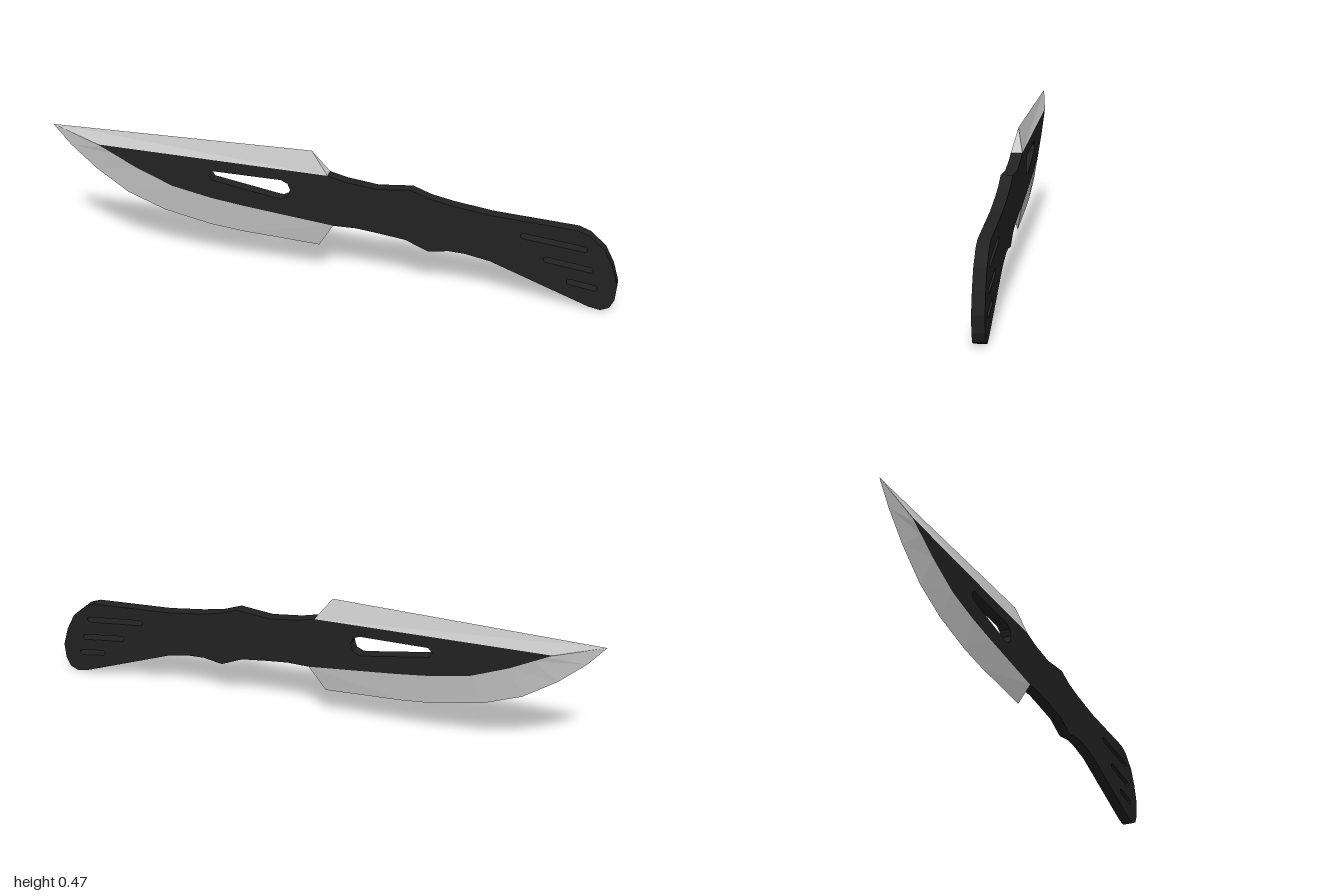
import * as THREE from 'three';

const H = 0.02; // half thickness of the flat core

const toPoints = (list) => list.map(([x, y]) => new THREE.Vector2(x, y));

// Rounded slot between two points, used as a hole
function slot([x1, y1], [x2, y2], r) {
  const a = Math.atan2(y2 - y1, x2 - x1);
  const path = new THREE.Path();
  path.absarc(x2, y2, r, a - Math.PI / 2, a + Math.PI / 2);
  path.absarc(x1, y1, r, a + Math.PI / 2, a + Math.PI * 1.5);
  path.closePath();
  return path;
}

// Two mirrored ground faces from the thin edge (z = 0) to the flat core (z = +-H),
// closed by a triangular heel; "below" tells if the edge lies under the core
function bevel(edge, flat, below) {
  const pos = [];
  const tri = (a, b, c, flip) => pos.push(...a, ...(flip ? c : b), ...(flip ? b : c));
  for (const side of [1, -1]) {
    const flip = (side > 0) !== below;
    const e = edge.map(([x, y]) => [x, y, 0]);
    const f = flat.map(([x, y]) => [x, y, side * H]);
    for (let i = 0; i < e.length - 1; i++) {
      tri(e[i], e[i + 1], f[i + 1], flip);
      tri(e[i], f[i + 1], f[i], flip);
    }
  }
  const [ex, ey] = edge[edge.length - 1];
  const [fx, fy] = flat[flat.length - 1];
  tri([ex, ey, 0], [fx, fy, H], [fx, fy, -H], below);
  const geometry = new THREE.BufferGeometry();
  geometry.setAttribute('position', new THREE.Float32BufferAttribute(pos, 3));
  geometry.computeVertexNormals();
  return geometry;
}

export function createModel() {
  const group = new THREE.Group();
  const black = new THREE.MeshStandardMaterial({ color: 0x222222 });
  const steel = new THREE.MeshStandardMaterial({ color: 0xcccccc });
  const add = (name, geometry, material) => {
    const mesh = new THREE.Mesh(geometry, material);
    mesh.name = name;
    group.add(mesh);
  };

  // Flat lower border of the blade, from the point to the heel
  const lowerFlat = [
    [-0.83, 0.42], [-0.81, 0.409], [-0.77, 0.388], [-0.69, 0.345],
    [-0.56, 0.29], [-0.42, 0.26], [-0.3, 0.243], [0.02, 0.205],
  ];

  // Core plate: blade centre and handle in one piece
  const core = new THREE.Shape(toPoints([
    ...lowerFlat,
    // underside of the handle
    [0.1, 0.205], [0.185, 0.195], [0.275, 0.182], [0.355, 0.147], [0.425, 0.158],
    [0.48, 0.155], [0.57, 0.137], [0.91, 0.008],
    // rounded butt
    [0.95, 0], [0.98, 0.013], [0.995, 0.045], [1, 0.1], [0.98, 0.168],
    [0.95, 0.227], [0.895, 0.275], [0.855, 0.29],
    // top of the handle
    [0.57, 0.31], [0.435, 0.33], [0.355, 0.347], [0.29, 0.372], [0.17, 0.362],
    [0.06, 0.377], [0, 0.393],
  ]));
  core.holes.push(
    // window in the blade
    new THREE.Path(toPoints([
      [-0.41, 0.364], [-0.165, 0.358], [-0.142, 0.347], [-0.133, 0.325], [-0.142, 0.298],
      [-0.165, 0.286], [-0.185, 0.288], [-0.415, 0.33], [-0.425, 0.347],
    ])),
    // slots in the handle
    slot([0.677, 0.247], [0.883, 0.222], 0.01),
    slot([0.757, 0.168], [0.907, 0.147], 0.01),
    slot([0.84, 0.094], [0.925, 0.08], 0.01),
  );
  const plate = new THREE.ExtrudeGeometry(core, { depth: 2 * H, bevelEnabled: false, curveSegments: 6 });
  plate.translate(0, 0, -H);
  add('corePlateAndHandle', plate, black);

  // Cutting edge
  add('cuttingEdge', bevel([
    [-1, 0.472], [-0.94, 0.4], [-0.85, 0.318], [-0.735, 0.238],
    [-0.6, 0.184], [-0.43, 0.147], [-0.31, 0.133], [-0.035, 0.115],
  ], lowerFlat, true), steel);

  // Straight upper edge
  add('bladeSpine', bevel(
    [[-1, 0.472], [-0.06, 0.472]],
    [[-0.83, 0.42], [0, 0.393]], false), steel);

  return group;
}
